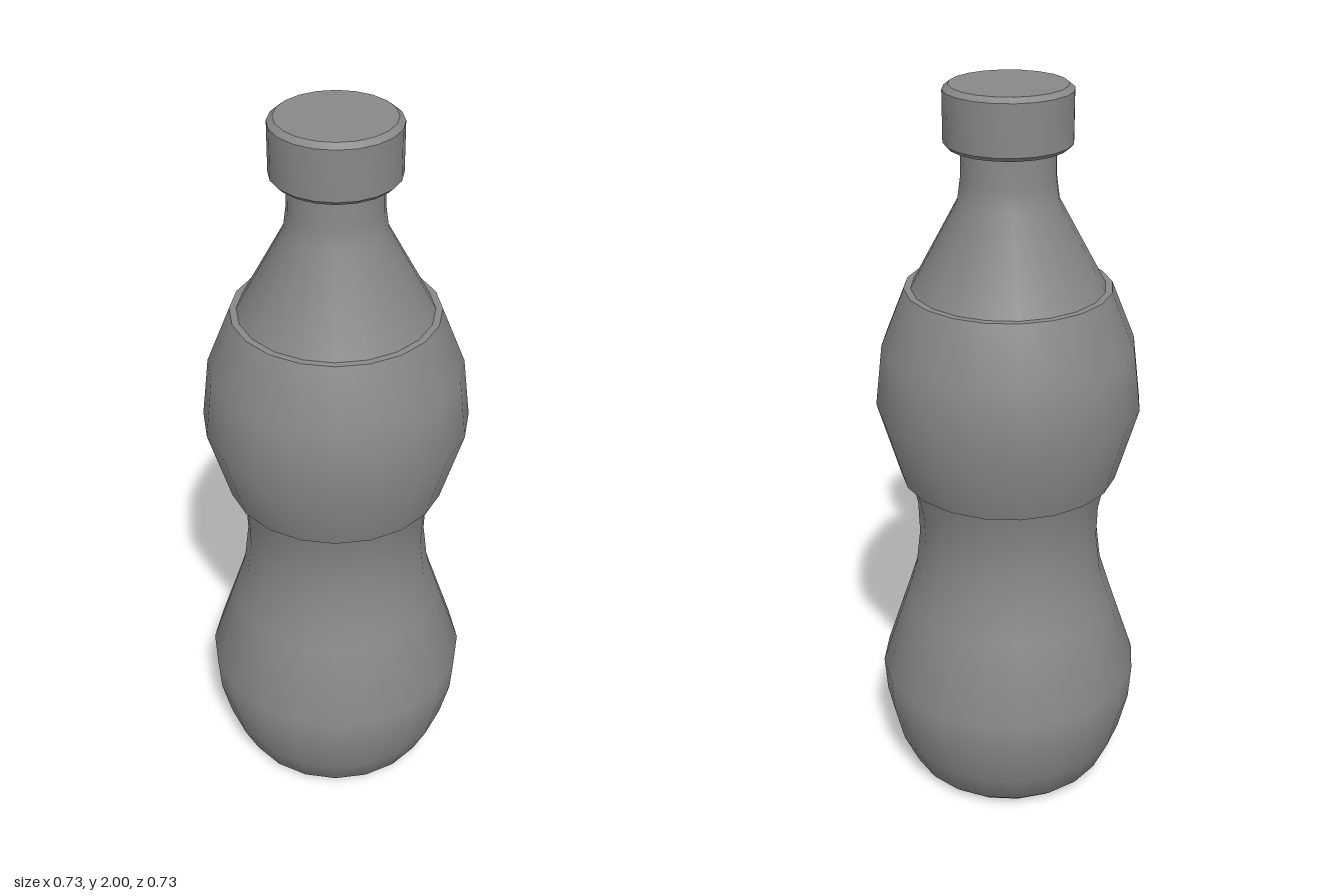
import * as THREE from 'three';
import { toCreasedNormals } from 'three/addons/utils/BufferGeometryUtils.js';

const SIDES = 20;

// Turned part from [radius, height] pairs running bottom to top on the outside
function turned(name, profile, material) {
  const points = profile.map(([r, y]) => new THREE.Vector2(r, y));
  const geometry = toCreasedNormals(new THREE.LatheGeometry(points, SIDES), 0.6);
  const mesh = new THREE.Mesh(geometry, material);
  mesh.name = name;
  return mesh;
}

export function createModel() {
  const model = new THREE.Group();
  model.name = 'bottle';
  const darkGrey = new THREE.MeshStandardMaterial({ color: 0x888888 });

  // Body: rounded foot, pinched waist, hidden bulge under the sleeve, shoulder and neck
  const body = turned('body', [
    [0, 0], [0.262, 0], [0.29, 0.026], [0.332, 0.12], [0.358, 0.23],
    [0.365, 0.332], [0.293, 0.55], [0.262, 0.65], [0.249, 0.76],
    [0.252, 0.85], [0.273, 0.95], [0.335, 1.15], [0.317, 1.32],
    [0.254, 1.48], [0.13, 1.71], [0.122, 1.77], [0.121, 1.87], [0, 1.87],
  ], darkGrey);

  // Label sleeve: thin shell with stepped rims
  const sleeve = turned('labelSleeve', [
    [0.268, 0.946], [0.295, 0.946], [0.355, 1.155], [0.335, 1.323],
    [0.272, 1.48], [0.248, 1.48],
  ], darkGrey);

  // Cap: closed disc with bevelled edges
  const cap = turned('cap', [
    [0, 1.847], [0.153, 1.847], [0.164, 1.858], [0.164, 1.988],
    [0.149, 2], [0, 2],
  ], darkGrey);

  model.add(body, sleeve, cap);
  return model;
}
